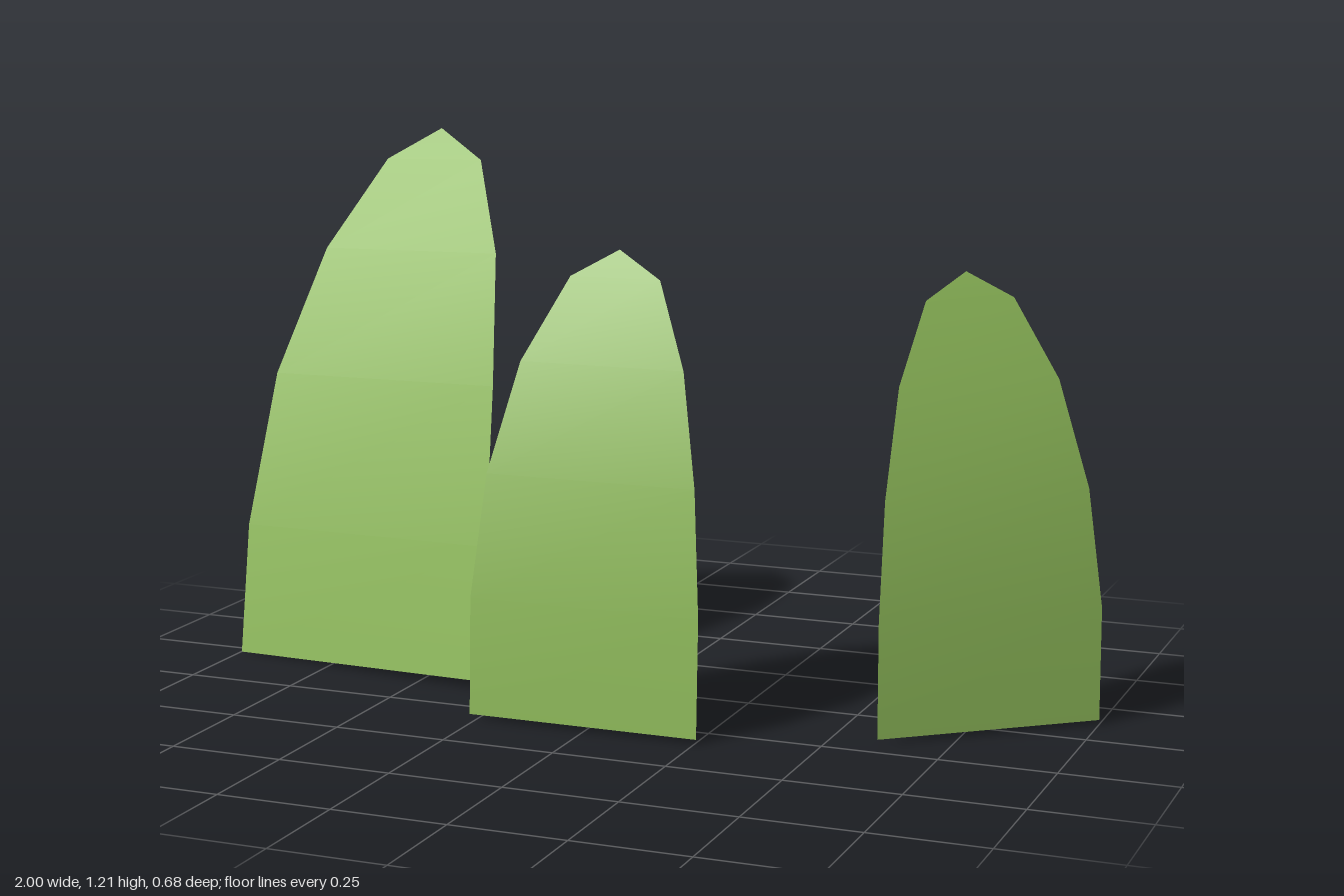
import * as THREE from 'three';

// Share of the full width at each row, narrowing to the tip
const TAPER = [1, 1, 0.91, 0.715, 0.395];

// Curved sheet: centre line points (last one is the tip) and half-width vector
function blade(name, spine, half, material) {
  const across = new THREE.Vector3(...half);
  const pos = [];
  const index = [];
  TAPER.forEach((w, i) => {
    const c = new THREE.Vector3(...spine[i]);
    for (const side of [-1, 1]) pos.push(...c.clone().addScaledVector(across, side * w).toArray());
    const a = i * 2;
    if (i < TAPER.length - 1) index.push(a, a + 1, a + 3, a, a + 3, a + 2);
    else index.push(a, a + 1, a + 2);
  });
  pos.push(...spine[TAPER.length]);
  const geo = new THREE.BufferGeometry();
  geo.setAttribute('position', new THREE.Float32BufferAttribute(pos, 3));
  geo.setIndex(index);
  geo.computeVertexNormals();
  const mesh = new THREE.Mesh(geo, material);
  mesh.name = name;
  return mesh;
}

export function createModel() {
  const group = new THREE.Group();
  group.name = 'grassBlades';
  const green = new THREE.MeshStandardMaterial({ color: 0x8fbb5a, side: THREE.DoubleSide });
  green.name = 'leaf green';

  // Tall blade on the model's right, leaning well back
  group.add(blade('tallBlade', [
    [-0.672, 0.01, 0.077], [-0.674, 0.305, 0.025], [-0.667, 0.652, -0.065],
    [-0.655, 0.935, -0.19], [-0.645, 1.137, -0.302], [-0.642, 1.207, -0.34],
  ], [0.327, 0.01, 0.047], green));

  // Middle blade, facing straight forward
  group.add(blade('middleBlade', [
    [-0.006, 0.01, 0.335], [-0.006, 0.265, 0.325], [-0.006, 0.53, 0.287],
    [-0.006, 0.765, 0.22], [-0.006, 0.942, 0.142], [-0.006, 1.0, 0.115],
  ], [0.26, 0, 0], green));

  // Blade on the model's left, turned outward
  group.add(blade('turnedBlade', [
    [0.802, 0.01, 0.036], [0.8, 0.255, 0.032], [0.782, 0.51, 0.014],
    [0.747, 0.737, -0.03], [0.71, 0.906, -0.077], [0.695, 0.962, -0.095],
  ], [0.198, 0, -0.158], green));

  return group;
}
